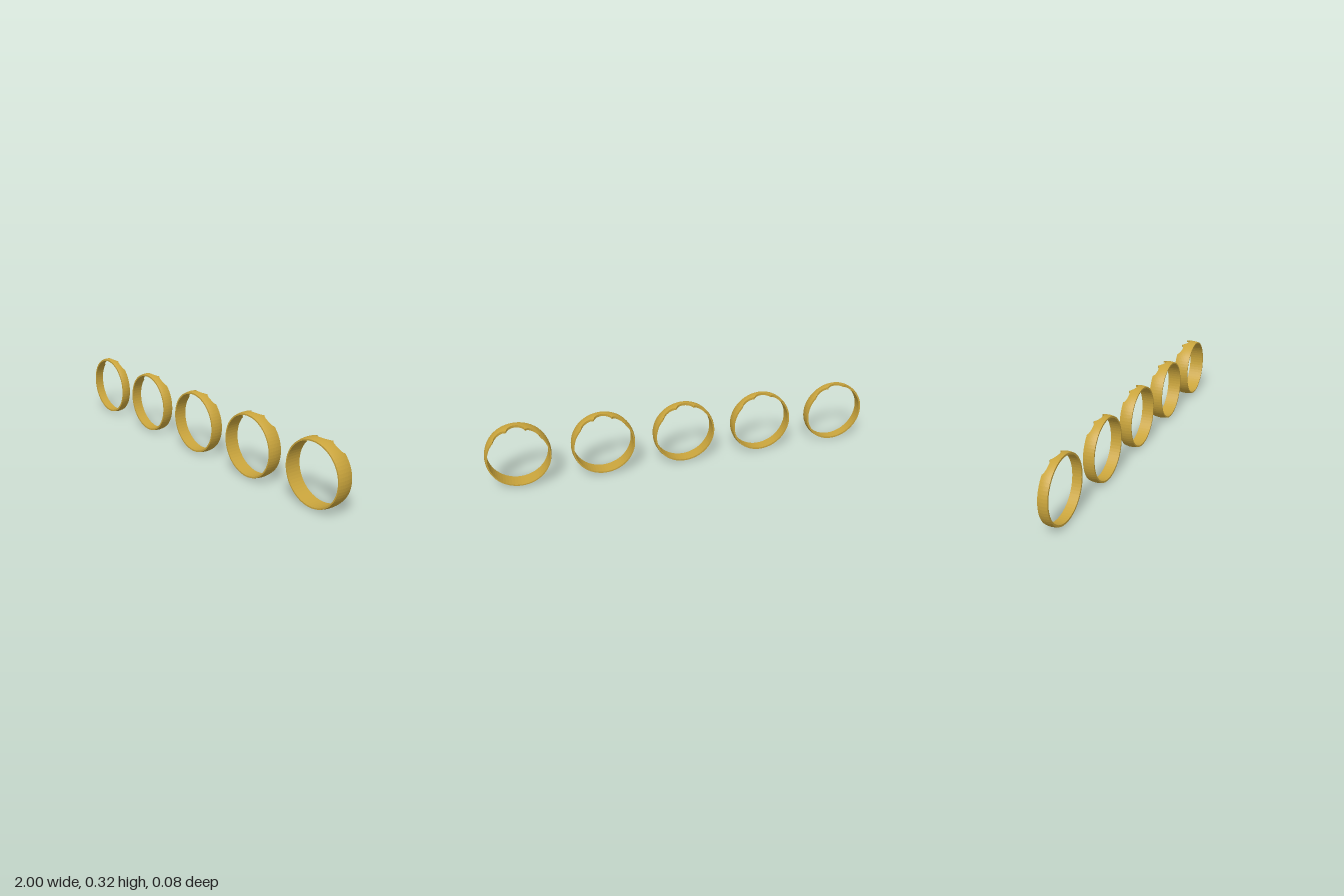
import * as THREE from 'three';

const OUTER = 0.161, INNER = 0.149, CENTER_Y = 0.162;
const CUSP = 0.045, NOTCH_END = 0.11;

// How far the scalloped back edge is cut in at a sideways offset x
function scallopDepth(x, width) {
  const ax = Math.abs(x);
  if (ax < CUSP) return 0.5 * width * Math.sqrt(1 - (ax / CUSP) ** 2);
  if (ax < NOTCH_END) {
    const half = (NOTCH_END - CUSP) / 2;
    const t = (ax - CUSP - half) / half;
    return 0.28 * width * Math.sqrt(Math.max(0, 1 - t * t));
  }
  return 0;
}

// Angles from the top: fine steps across the scallops, coarse facets elsewhere
function ringAngles() {
  const angles = [];
  for (let d = -48; d < 48; d += 1) angles.push(d);
  for (let d = 48; d < 312; d += 6) angles.push(d);
  return angles.map((d) => THREE.MathUtils.degToRad(d));
}

// Crowned band swept round its axis, with the scallops cut into its back edge
function ringGeometry(width) {
  const angles = ringAngles();
  const steps = 8;
  const crown = 0.07 * width;
  const positions = [];
  const indices = [];
  const count = 2 * (steps + 1);
  for (const a of angles) {
    const s = Math.sin(a), c = Math.cos(a);
    const back = (r) => -width / 2 + (c > 0 ? scallopDepth(r * s, width) : 0);
    // outer surface, back to front
    const zOuter = back(OUTER - crown / 2);
    for (let k = 0; k <= steps; k++) {
      const z = THREE.MathUtils.lerp(zOuter, width / 2, k / steps);
      const r = OUTER - crown * (2 * z / width) ** 2;
      positions.push(r * s, r * c, z);
    }
    // inner surface, front to back
    const zInner = back(INNER);
    for (let k = 0; k <= steps; k++) {
      positions.push(INNER * s, INNER * c, THREE.MathUtils.lerp(width / 2, zInner, k / steps));
    }
  }
  for (let i = 0; i < angles.length; i++) {
    const next = (i + 1) % angles.length;
    for (let j = 0; j < count; j++) {
      const j1 = (j + 1) % count;
      const a = i * count + j, b = i * count + j1;
      const c = next * count + j1, d = next * count + j;
      indices.push(a, b, c, a, c, d);
    }
  }
  const indexed = new THREE.BufferGeometry();
  indexed.setAttribute('position', new THREE.Float32BufferAttribute(positions, 3));
  indexed.setIndex(indices);
  const geometry = indexed.toNonIndexed();
  geometry.computeVertexNormals();
  return geometry;
}

export function createModel() {
  const group = new THREE.Group();
  group.name = 'ringSet';
  const gold = new THREE.MeshStandardMaterial({ color: 0xc9a43c });
  gold.name = 'gold';

  // Five bands in a row, each wider than the last
  const widths = [0.046, 0.054, 0.062, 0.071, 0.08];
  widths.forEach((width, i) => {
    const ring = new THREE.Mesh(ringGeometry(width), gold);
    ring.name = `ring${i + 1}`;
    ring.position.set((i - 2) * 0.4195, CENTER_Y, 0);
    group.add(ring);
  });
  return group;
}
